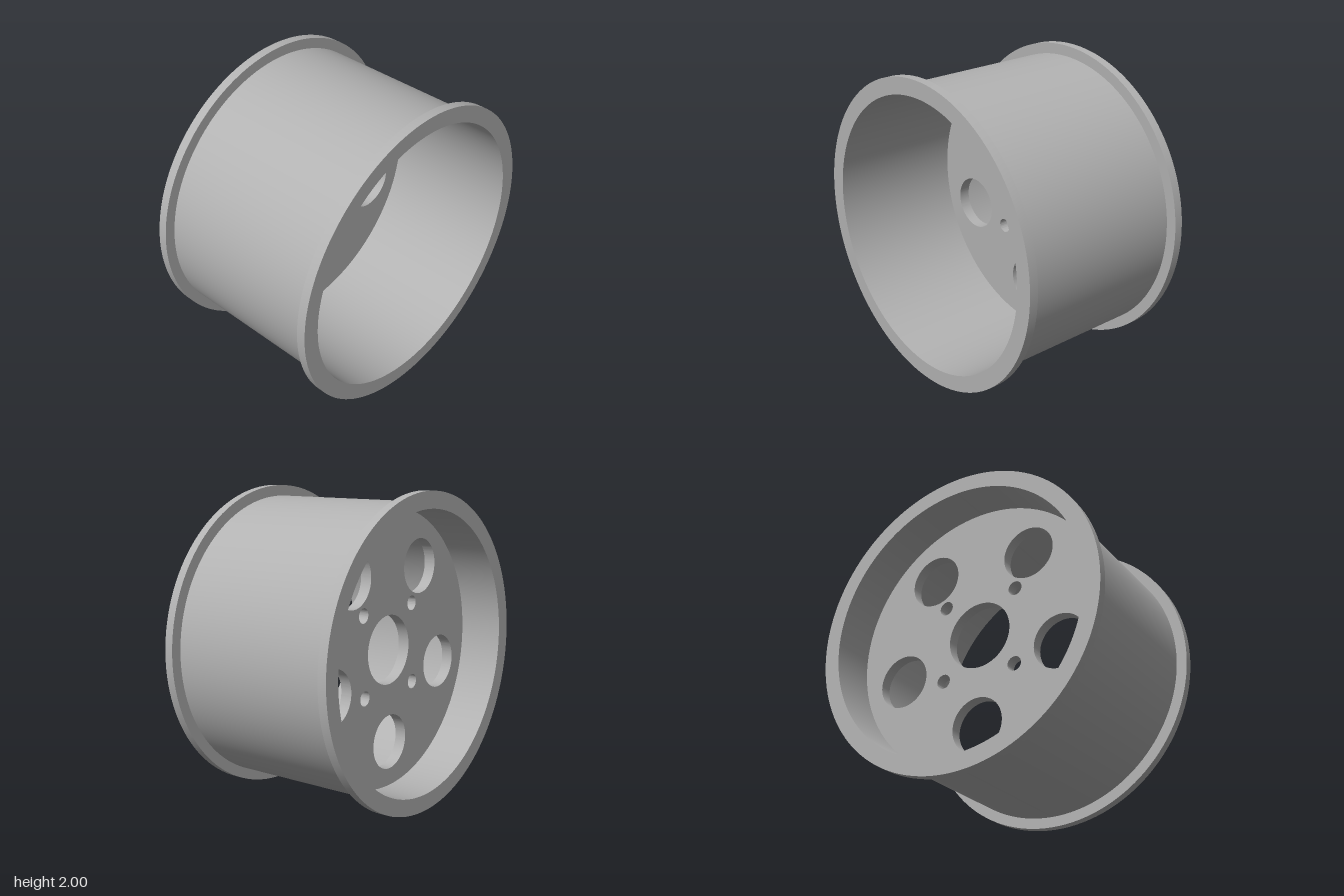
import * as THREE from 'three';
import { toCreasedNormals } from 'three/addons/utils/BufferGeometryUtils.js';

const HALF = 0.613;      // half the rim width
const FLANGE = 0.058;    // flange thickness
const R_FLANGE = 0.986;
const R_OUTER = 0.918;
const R_INNER = 0.88;

export function createModel() {
  const model = new THREE.Group();
  model.name = 'wheelRim';
  const metal = new THREE.MeshStandardMaterial({ color: 0xb2b2b2 });
  metal.name = 'grey metal';

  // Barrel with a flange at each end: closed profile turned around the axle
  const profile = [
    [R_INNER, -HALF], [R_FLANGE, -HALF], [R_FLANGE, -HALF + FLANGE], [R_OUTER, -HALF + FLANGE],
    [R_OUTER, HALF - FLANGE], [R_FLANGE, HALF - FLANGE], [R_FLANGE, HALF], [R_INNER, HALF],
    [R_INNER, -HALF],
  ].map(([r, h]) => new THREE.Vector2(r, h));
  const barrelGeometry = new THREE.LatheGeometry(profile, 128).rotateX(Math.PI / 2);
  const barrel = new THREE.Mesh(toCreasedNormals(barrelGeometry, 0.6), metal);
  barrel.name = 'flangedBarrel';

  // Wheel disc with hub bore, bolt holes and lightening holes
  const disc = new THREE.Shape().absarc(0, 0, R_INNER + 0.005, 0, Math.PI * 2);
  const addHole = (x, y, r) =>
    disc.holes.push(new THREE.Path().absarc(x, y, r, 0, Math.PI * 2, true));
  addHole(0, 0, 0.219);
  for (const x of [-0.256, 0.256]) {
    for (const y of [-0.256, 0.256]) addHole(x, y, 0.047);
  }
  for (let i = 0; i < 5; i++) {
    const a = -Math.PI / 2 + (i * Math.PI * 2) / 5;
    addHole(0.595 * Math.cos(a), 0.595 * Math.sin(a), 0.175);
  }
  const discGeometry = new THREE.ExtrudeGeometry(disc, {
    depth: 0.075, bevelEnabled: false, curveSegments: 64,
  });
  const plate = new THREE.Mesh(toCreasedNormals(discGeometry, 0.6), metal);
  plate.name = 'wheelDisc';
  plate.position.z = -0.33;

  // The whole rim leans slightly forward
  const rim = new THREE.Group();
  rim.name = 'rim';
  rim.add(barrel, plate);
  rim.rotation.x = 0.0225;
  rim.position.y = 1;
  model.add(rim);
  return model;
}
